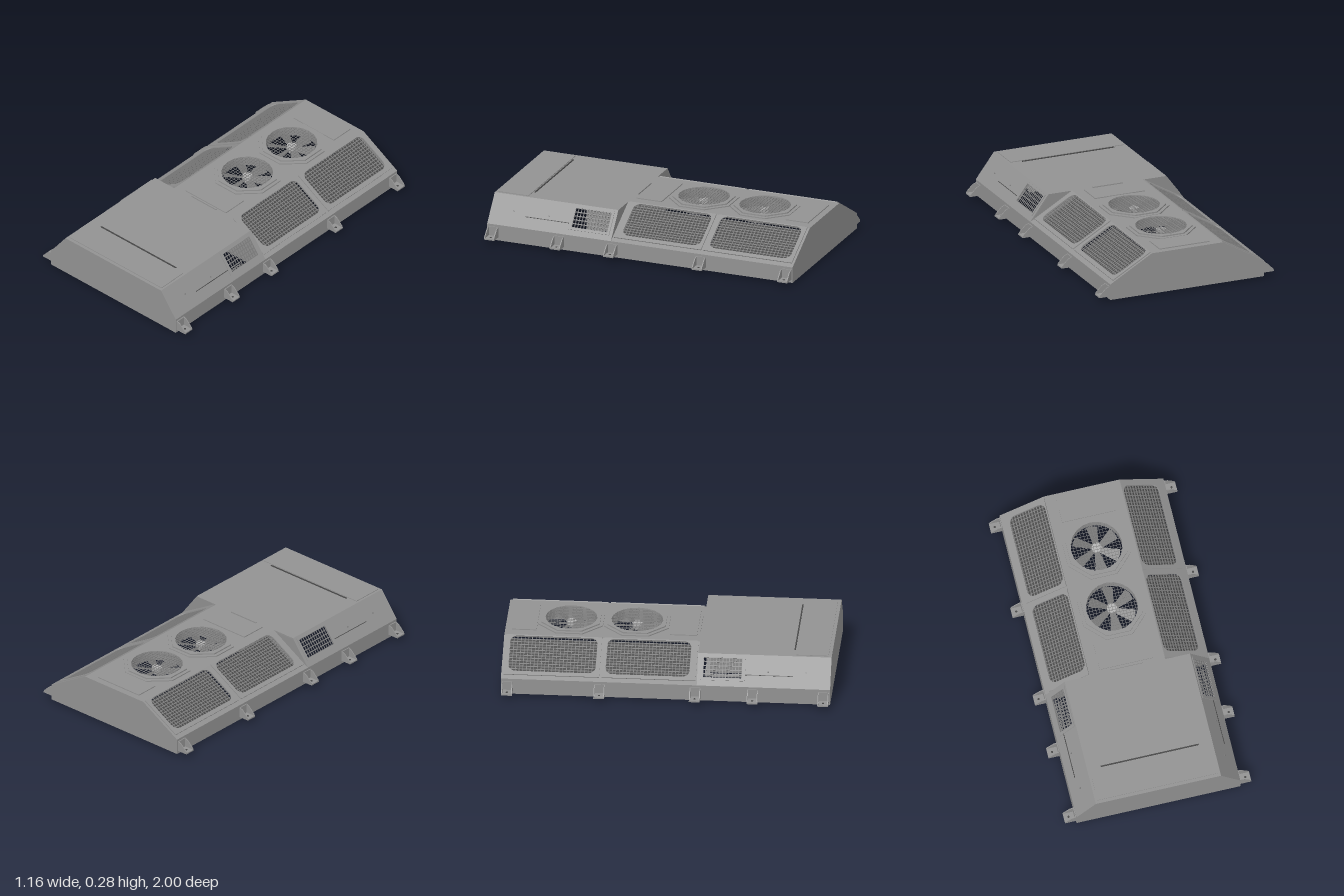
import * as THREE from 'three';
import { mergeGeometries } from 'three/addons/utils/BufferGeometryUtils.js';

const mat = (name, color, side = THREE.FrontSide) => {
  const m = new THREE.MeshStandardMaterial({ color, side });
  m.name = name;
  return m;
};

export function createModel() {
  const root = new THREE.Group();
  root.name = 'rooftopAirConditioner';
  const shell = mat('shellGrey', 0x929292);
  const sheet = mat('sheetGrey', 0x8e8e8e, THREE.DoubleSide);
  const wire = mat('wireGrey', 0x7c7c7c);
  const dark = mat('coilDark', 0x484848, THREE.DoubleSide);
  const light = mat('hubLight', 0xb4b4b4);

  const add = (parent, name, geo, m) => {
    const mesh = new THREE.Mesh(geo, m);
    mesh.name = name;
    parent.add(mesh);
    return mesh;
  };
  const poly = pts => new THREE.Shape(pts.map(p => new THREE.Vector2(...p)));
  const rect = (x0, x1, y0, y1) => poly([[x0, y0], [x1, y0], [x1, y1], [x0, y1]]);
  const roundRect = (x0, x1, y0, y1, r) => {
    const s = new THREE.Shape();
    s.absarc(x1 - r, y1 - r, r, 0, Math.PI / 2);
    s.absarc(x0 + r, y1 - r, r, Math.PI / 2, Math.PI);
    s.absarc(x0 + r, y0 + r, r, Math.PI, 1.5 * Math.PI);
    s.absarc(x1 - r, y0 + r, r, 1.5 * Math.PI, 2 * Math.PI);
    s.closePath();
    return s;
  };
  const circle = (x, y, r) => {
    const s = new THREE.Shape();
    s.absarc(x, y, r, 0, Math.PI * 2);
    return s;
  };
  const octagon = (y, apothem) => poly(Array.from({ length: 8 }, (_, i) => {
    const a = (i + 0.5) * Math.PI / 4, r = apothem / Math.cos(Math.PI / 8);
    return [r * Math.cos(a), y + r * Math.sin(a)];
  }));
  const holed = (s, ...holes) => { s.holes.push(...holes); return s; };
  const plate = (s, depth) => new THREE.ExtrudeGeometry(s, { depth, bevelEnabled: false, curveSegments: 10 });
  // Horizontal plate: shape y becomes -z, thickness goes up from y
  const flat = (s, depth, y) => plate(s, depth).rotateX(-Math.PI / 2).translate(0, y, 0);
  const box = (w, h, d, x, y, z) => new THREE.BoxGeometry(w, h, d).translate(x, y, z);

  // Crossed bars filling a rectangle
  const grid = (x0, x1, y0, y1, nx, ny, t) => {
    const bars = [];
    for (let i = 0; i <= nx; i++) bars.push(box(t, y1 - y0, t, x0 + (x1 - x0) * i / nx, (y0 + y1) / 2, 0));
    for (let i = 0; i <= ny; i++) bars.push(box(x1 - x0, t * 1.5, t, (x0 + x1) / 2, y0 + (y1 - y0) * i / ny, 0));
    return mergeGeometries(bars);
  };

  // Cross-sections of the two halves
  const EDGE = [0.51, 0.11], REAR = [0.235, 0.27], FRONT = [0.39, 0.27], STEP = 0.19;
  const profile = t => poly([[-0.51, 0.01], [0.51, 0.01], EDGE, t, [-t[0], t[1]], [-0.51, 0.11]]);
  add(root, 'frontWall', plate(profile(FRONT), 0.008).translate(0, 0, 0.992), shell);
  add(root, 'rearWall', plate(profile(REAR), 0.008).translate(0, 0, -1), shell);
  add(root, 'stepBulkhead', new THREE.ShapeGeometry(profile(FRONT)).translate(0, 0, STEP), sheet);

  // Sloping frame: local x runs along -side*z, y up the slope, z outward
  const slope = (name, side, top) => {
    const g = new THREE.Group(), a = EDGE[0] - top[0], b = top[1] - EDGE[1], L = Math.hypot(a, b);
    g.name = name;
    new THREE.Matrix4().makeBasis(
      new THREE.Vector3(0, 0, -side),
      new THREE.Vector3(-side * a / L, b / L, 0),
      new THREE.Vector3(side * b / L, a / L, 0)
    ).setPosition(side * EDGE[0], EDGE[1], 0).decompose(g.position, g.quaternion, g.scale);
    root.add(g);
    return { g, L, u: (z0, z1) => side > 0 ? [-z1, -z0] : [z0, z1] };
  };

  for (const side of [1, -1]) {
    const tag = side > 0 ? 'left' : 'right';
    add(root, tag + 'SideWall', box(0.008, 0.1, 2, side * 0.506, 0.06, 0), shell);

    // Condenser slope with two framed grilles over dark coils
    const r = slope(tag + 'CondenserSlope', side, REAR);
    const bays = [[-0.96, -0.43], [-0.37, 0.14]];
    const holes = bays.map(([a, b]) => rect(...r.u(a - 0.01, b + 0.01), 0.04, r.L - 0.005));
    add(r.g, 'slopePanel', plate(holed(rect(...r.u(-1, STEP), 0, r.L), ...holes), 0.008).translate(0, 0, -0.008), shell);
    bays.forEach(([a, b], i) => {
      const [u0, u1] = r.u(a, b), v0 = 0.056, v1 = r.L - 0.008;
      const rim = rect(...r.u(i ? -0.39 : -0.985, i ? 0.18 : -0.405), 0.03, r.L);
      add(r.g, 'grilleFrame', plate(holed(rim, roundRect(u0, u1, v0, v1, 0.045)), 0.006), shell);
      add(r.g, 'condenserGrille', grid(u0, u1, v0, v1, 24, 13, 0.004).translate(0, 0, -0.003), wire);
      add(r.g, 'condenserCoil', new THREE.ShapeGeometry(rect(u0 - 0.005, u1 + 0.005, v0 - 0.01, v1)).translate(0, 0, -0.025), dark);
    });

    // Evaporator slope with a see-through intake grille
    const f = slope(tag + 'EvaporatorSlope', side, FRONT);
    const [u0, u1] = f.u(0.225, 0.46);
    add(f.g, 'slopePanel', plate(holed(rect(...f.u(STEP, 1), 0, f.L), rect(u0, u1, 0.05, 0.175)), 0.008).translate(0, 0, -0.008), shell);
    add(f.g, 'intakeFrame', plate(holed(rect(...f.u(0.21, 0.48), 0.035, 0.188), rect(u0, u1, 0.05, 0.175)), 0.004), shell);
    add(f.g, 'intakeGrille', grid(u0, u1, 0.05, 0.175, 12, 5, 0.004), wire);
    const [s0, s1] = f.u(0.48, 0.77);
    add(f.g, 'panelSeam', box(s1 - s0, 0.004, 0.003, (s0 + s1) / 2, 0.075, 0.001), dark);
    for (const z of [0.62, 0.85]) add(f.g, 'screw', box(0.008, 0.008, 0.006, -side * z, 0.1, 0.001), wire);

    // Mounting feet: base, back plate and two cheeks
    const cheek = poly([[0, 0.03], [0.07, 0.03], [0.065, 0.045], [0.025, 0.085], [0, 0.095]]);
    for (const z of [-0.96, -0.4, 0.18, 0.53, 0.96]) {
      const foot = new THREE.Group();
      foot.name = tag + 'MountingFoot';
      foot.position.set(side * 0.51, 0, z);
      if (side < 0) foot.rotation.y = Math.PI;
      for (const d of [-0.033, 0.027]) add(foot, 'cheek', plate(cheek, 0.006).translate(0, 0, d), shell);
      add(foot, 'base', box(0.07, 0.008, 0.064, 0.035, 0.034, 0), shell);
      add(foot, 'backPlate', box(0.006, 0.065, 0.064, 0.003, 0.0625, 0), shell);
      add(foot, 'boltHole', new THREE.CylinderGeometry(0.007, 0.007, 0.002, 12).translate(0.04, 0.039, 0), dark);
      root.add(foot);
    }
  }

  // Top of the condenser, with fan openings and two access covers
  const fans = [-0.61, -0.21];
  add(root, 'condenserTop', flat(holed(rect(-0.235, 0.235, -STEP, 1), ...fans.map(z => circle(0, -z, 0.157))), 0.008, 0.262), shell);
  for (const [a, b] of [[-0.96, -0.81], [0, 0.165]])
    add(root, 'accessCover', flat(rect(-0.165, 0.165, -b, -a), 0.006, 0.27), shell);
  add(root, 'topLip', box(0.2, 0.008, 0.006, 0, 0.274, 0.18), shell);

  // Fans: octagonal frame, shroud, wire guard, hub and pitched blades
  for (const z of fans) {
    const fan = new THREE.Group();
    fan.name = 'fan';
    fan.position.z = z;
    add(fan, 'frameBase', flat(holed(octagon(0, 0.197), circle(0, 0, 0.157)), 0.007, 0.27), shell);
    add(fan, 'frameRing', flat(holed(octagon(0, 0.177), circle(0, 0, 0.157)), 0.008, 0.277), shell);
    add(fan, 'shroud', new THREE.CylinderGeometry(0.157, 0.157, 0.06, 32, 1, true).translate(0, 0.25, 0), sheet);
    const bars = [];
    for (let i = -7; i <= 7; i++) {
      const p = i * 0.02, len = 2 * Math.sqrt(0.157 ** 2 - p * p);
      bars.push(box(0.0025, 0.0025, len, p, 0.279, 0), box(len, 0.0025, 0.0025, 0, 0.279, p));
    }
    add(fan, 'guard', mergeGeometries(bars), wire);
    add(fan, 'hub', new THREE.CylinderGeometry(0.03, 0.03, 0.035, 20).translate(0, 0.245, 0), light);
    const blade = poly([[0.025, -0.018], [0.14, -0.04], [0.148, 0], [0.14, 0.036], [0.025, 0.014]]);
    for (let i = 0; i < 6; i++) {
      const geo = flat(blade, 0.003, 0).rotateX(0.4).rotateY((i + 0.5) * Math.PI / 3).translate(0, 0.24, 0);
      add(fan, 'blade', geo, wire);
    }
    root.add(fan);
  }

  // Evaporator cover and front flap
  add(root, 'evaporatorCover', flat(rect(-0.39, 0.39, -1, -STEP), 0.008, 0.262), shell);
  add(root, 'frontFlap', flat(rect(-0.375, 0.375, -0.98, -0.785), 0.004, 0.27), shell);
  add(root, 'flapHinge', box(0.61, 0.005, 0.008, 0, 0.272, 0.772), dark);

  // Underside, facing down only
  const down = (s, y) => new THREE.ShapeGeometry(s).rotateX(Math.PI / 2).translate(0, y, 0);
  const vents = [1, -1].map(s => s > 0 ? rect(0.34, 0.48, 0.225, 0.48) : rect(-0.48, -0.34, 0.225, 0.48));
  add(root, 'rearPan', down(rect(-0.51, 0.51, -1, 0.2), 0.006), shell);
  add(root, 'frontFloor', down(holed(rect(-0.51, 0.51, 0.2, 1), ...vents,
    rect(-0.15, 0.15, 0.24, 0.49), rect(-0.22, 0.22, 0.85, 0.96)), 0.01), shell);
  add(root, 'returnFrame', flat(holed(rect(-0.17, 0.17, -0.51, -0.21), rect(-0.15, 0.15, -0.49, -0.24)), 0.01, 0), shell);
  for (const s of [1, -1])
    add(root, 'floorGrille', grid(-0.07, 0.07, -0.1275, 0.1275, 7, 12, 0.004)
      .rotateX(Math.PI / 2).translate(s * 0.41, 0.01, 0.3525), wire);
  add(root, 'supplyDuct', new THREE.PlaneGeometry(0.46, 0.17).rotateX(Math.PI * 0.28).translate(0, 0.09, 0.905), sheet);
  for (const s of [1, -1])
    add(root, 'ductDivider', box(0.006, 0.2, 0.25, s * 0.17, 0.13, 0.365), sheet);
  return root;
}
